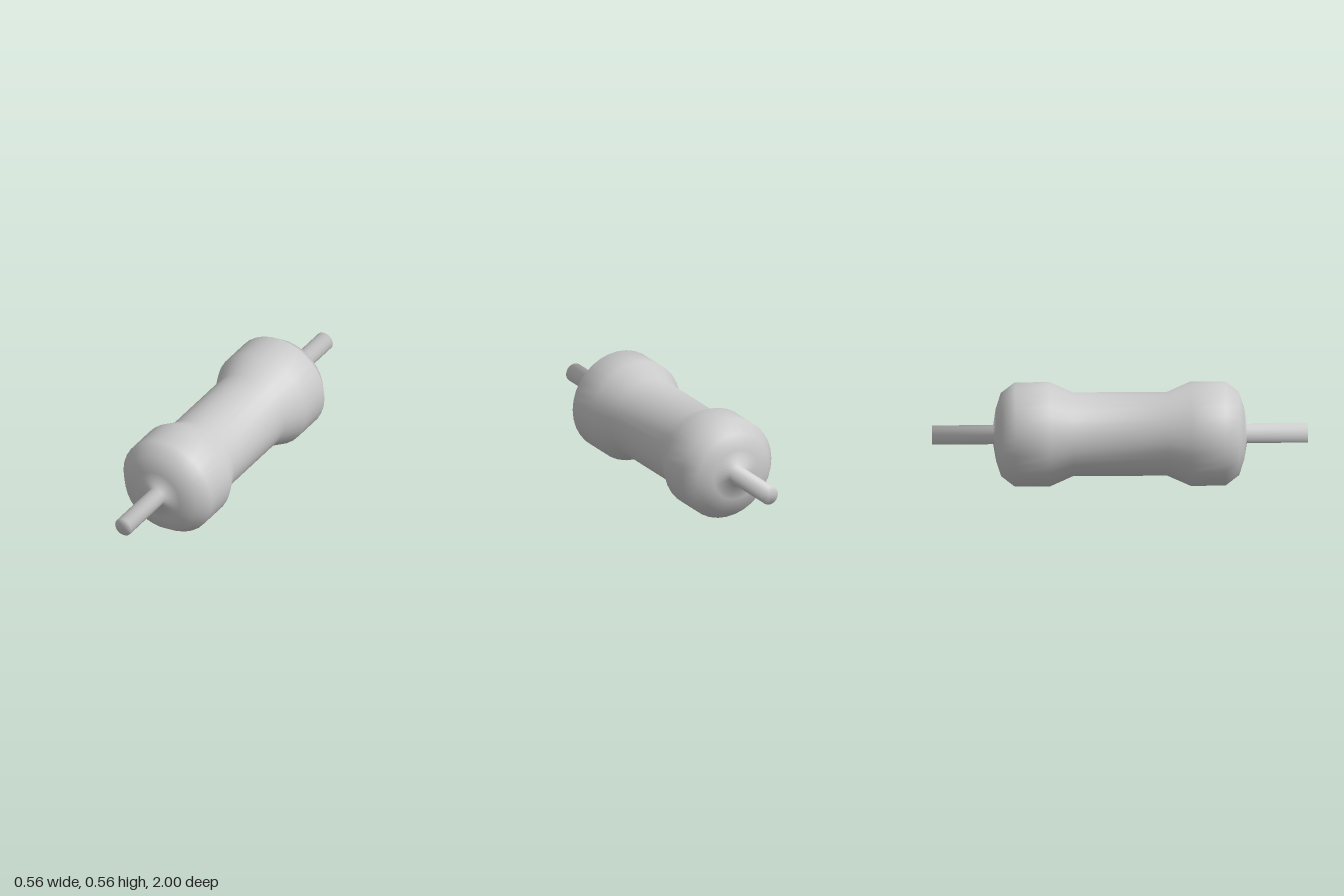
import * as THREE from 'three';

const SIDES = 32;
const RADIUS = 0.278;

// Right-angle normal of a profile segment, unit length
function segmentNormal(a, b) {
  return new THREE.Vector2(b.y - a.y, a.x - b.x).normalize();
}

// Lathe whose normals blend neighbouring segments equally, so every edge shades softly
function softLathe(profile) {
  const geometry = new THREE.LatheGeometry(profile, SIDES);
  const last = profile.length - 1;
  const blended = profile.map((p, j) => {
    const n = new THREE.Vector2();
    if (j > 0) n.add(segmentNormal(profile[j - 1], p));
    if (j < last) n.add(segmentNormal(p, profile[j + 1]));
    return n.normalize();
  });
  const normals = geometry.attributes.normal;
  for (let i = 0; i <= SIDES; i++) {
    const phi = (i / SIDES) * Math.PI * 2;
    blended.forEach((n, j) => {
      normals.setXYZ(i * profile.length + j, n.x * Math.sin(phi), n.y, n.x * Math.cos(phi));
    });
  }
  return geometry;
}

export function createModel() {
  const group = new THREE.Group();
  group.name = 'resistor';

  // Half profile (radius, distance from the middle): waist, bulging end, wire lead
  const half = [
    [0.223, 0.25], // waist edge
    [RADIUS, 0.375], // bulge
    [RADIUS, 0.56],
    [0.222, 0.633], // rounded shoulder
    [0.14, 0.66],
    [0.051, 0.675], // lead root
    [0.051, 1], // lead tip
    [0, 1],
  ];
  const front = half.map(([r, z]) => new THREE.Vector2(r, z));
  const back = half.map(([r, z]) => new THREE.Vector2(r, -z)).reverse();

  // Body and both leads are one continuous turned surface lying along z
  const geometry = softLathe([...back, ...front]);
  geometry.rotateX(Math.PI / 2);
  const body = new THREE.Mesh(geometry, new THREE.MeshStandardMaterial({ color: 0xcccccc }));
  body.name = 'bodyWithLeads';
  body.position.y = RADIUS;
  group.add(body);

  return group;
}
